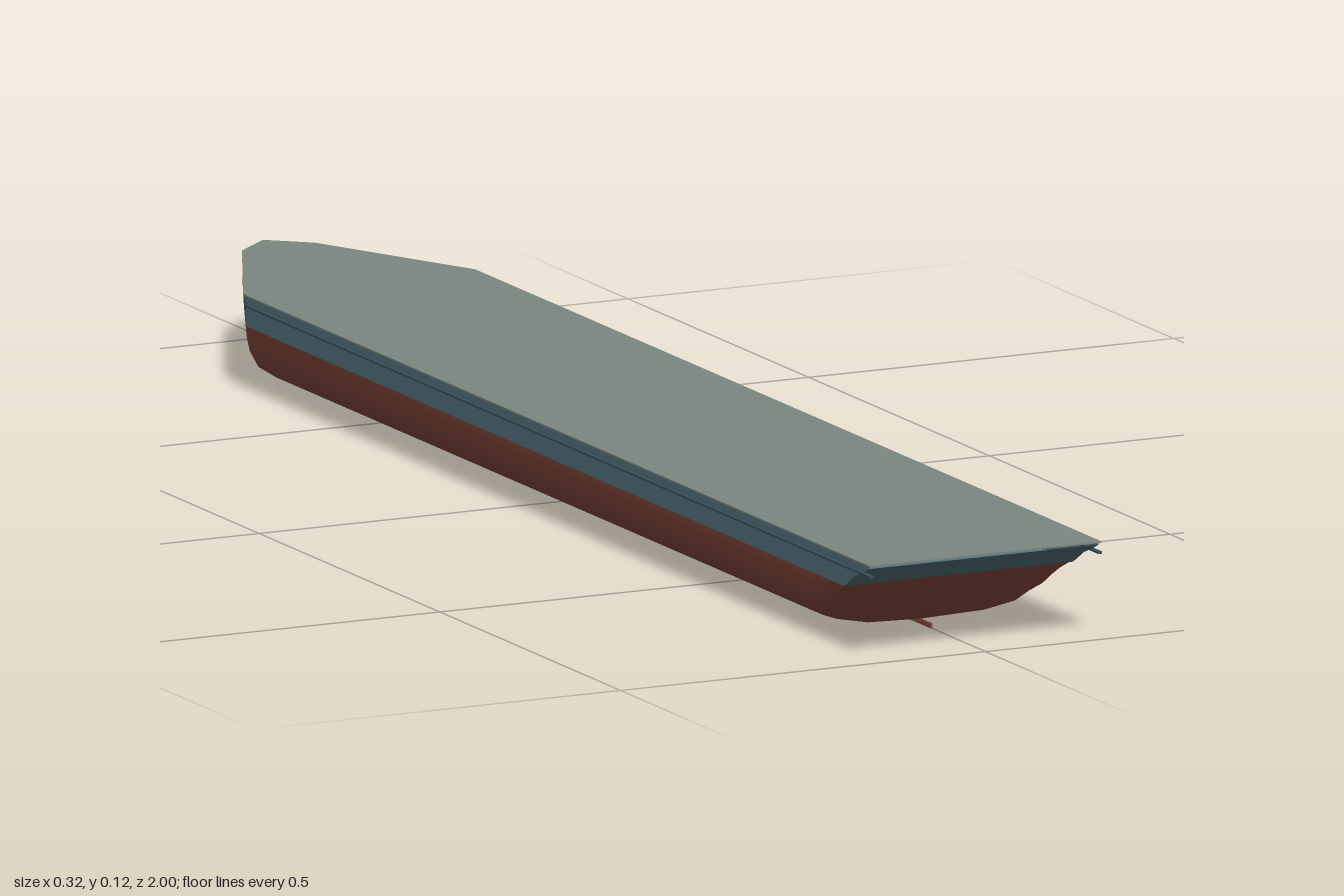
import * as THREE from 'three';
import { toCreasedNormals } from 'three/addons/utils/BufferGeometryUtils.js';

const WATERLINE = 0.083, DECK = 0.123, HALF = 0.157;

// stations from stern to bow: [z, half width, keel height]
const STATIONS = [
  [0.995, HALF, 0.118], [0.98, HALF, 0.111], [0.955, HALF, 0.101], [0.925, HALF, WATERLINE],
  [0.9, HALF, 0.054], [0.875, HALF, 0.03], [0.85, HALF, 0.014], [0.82, HALF, 0.006], [0.78, HALF, 0.003],
  [0, HALF, 0.003], [-0.73, HALF, 0.003], [-0.8, 0.124, 0.007], [-0.88, 0.086, 0.014],
  [-0.955, 0.05, 0.025], [-0.98, 0.024, 0.029], [-0.999, 0.0005, 0.032],
];

// half cross-section below the waterline: [width share, height share]
const BILGE = [[1, 1], [0.99, 0.8], [0.965, 0.6], [0.89, 0.34], [0.73, 0.14], [0.46, 0.03], [0, 0]];

function mesh(name, geometry, color, side = THREE.FrontSide) {
  const m = new THREE.Mesh(geometry, new THREE.MeshStandardMaterial({ color, side }));
  m.name = name;
  return m;
}

// skin over sections that run from +x, under the keel, to -x
function loft(sections, crease) {
  const n = sections[0].length, index = [];
  for (let i = 0; i < sections.length - 1; i++) {
    for (let j = 0; j < n - 1; j++) {
      const a = i * n + j, c = a + n;
      index.push(a, a + 1, c, a + 1, c + 1, c);
    }
  }
  const g = new THREE.BufferGeometry();
  g.setAttribute('position', new THREE.Float32BufferAttribute(sections.flat(2), 3));
  g.setIndex(index);
  return toCreasedNormals(g, crease);
}

function mirrored(half) {
  return [...half, ...half.slice(0, -1).reverse().map(([x, y, z]) => [-x, y, z])];
}

export function createModel() {
  const ship = new THREE.Group();
  ship.name = 'shipHull';

  // red underwater body
  const lower = STATIONS.filter(([, , keel]) => keel <= WATERLINE).map(([z, w, keel]) =>
    mirrored(BILGE.map(([fx, fy]) => [w * fx, keel + (WATERLINE - keel) * fy, z])));
  ship.add(mesh('lowerHull', loft(lower, 0.9), 0x8a4b3e, THREE.DoubleSide));

  // blue topsides with the raked stern counter
  const upper = STATIONS.map(([z, w, keel]) => {
    const y = Math.max(keel, WATERLINE);
    return mirrored([[w, DECK - 0.002, z], [w, y, z], [0, y, z]]);
  });
  ship.add(mesh('upperHull', loft(upper, 0.4), 0x55757f, THREE.DoubleSide));

  // thin deck plate
  const outline = new THREE.Shape([[-0.159, -1], [0.159, -1], [0.159, 0.733], [0.05, 0.957], [0, 1],
    [-0.05, 0.957], [-0.159, 0.733]].map(([x, y]) => new THREE.Vector2(x, y)));
  const deck = new THREE.ExtrudeGeometry(outline, { depth: 0.002, bevelEnabled: false });
  deck.rotateX(-Math.PI / 2).translate(0, DECK - 0.002, 0);
  ship.add(mesh('deck', deck, 0x7c8782));

  // rubbing strakes along both sides
  for (const side of [1, -1]) {
    const strake = mesh(side > 0 ? 'leftStrake' : 'rightStrake',
      new THREE.BoxGeometry(0.005, 0.003, 1.73), 0x3c555d);
    strake.position.set(side * 0.157, 0.109, 0.135);
    ship.add(strake);
  }

  // shallow centreline keel
  const keel = mesh('keel', new THREE.BoxGeometry(0.003, 0.006, 1.57), 0x8a4b3e);
  keel.position.set(0, 0.003, 0.065);
  ship.add(keel);

  return ship;
}
